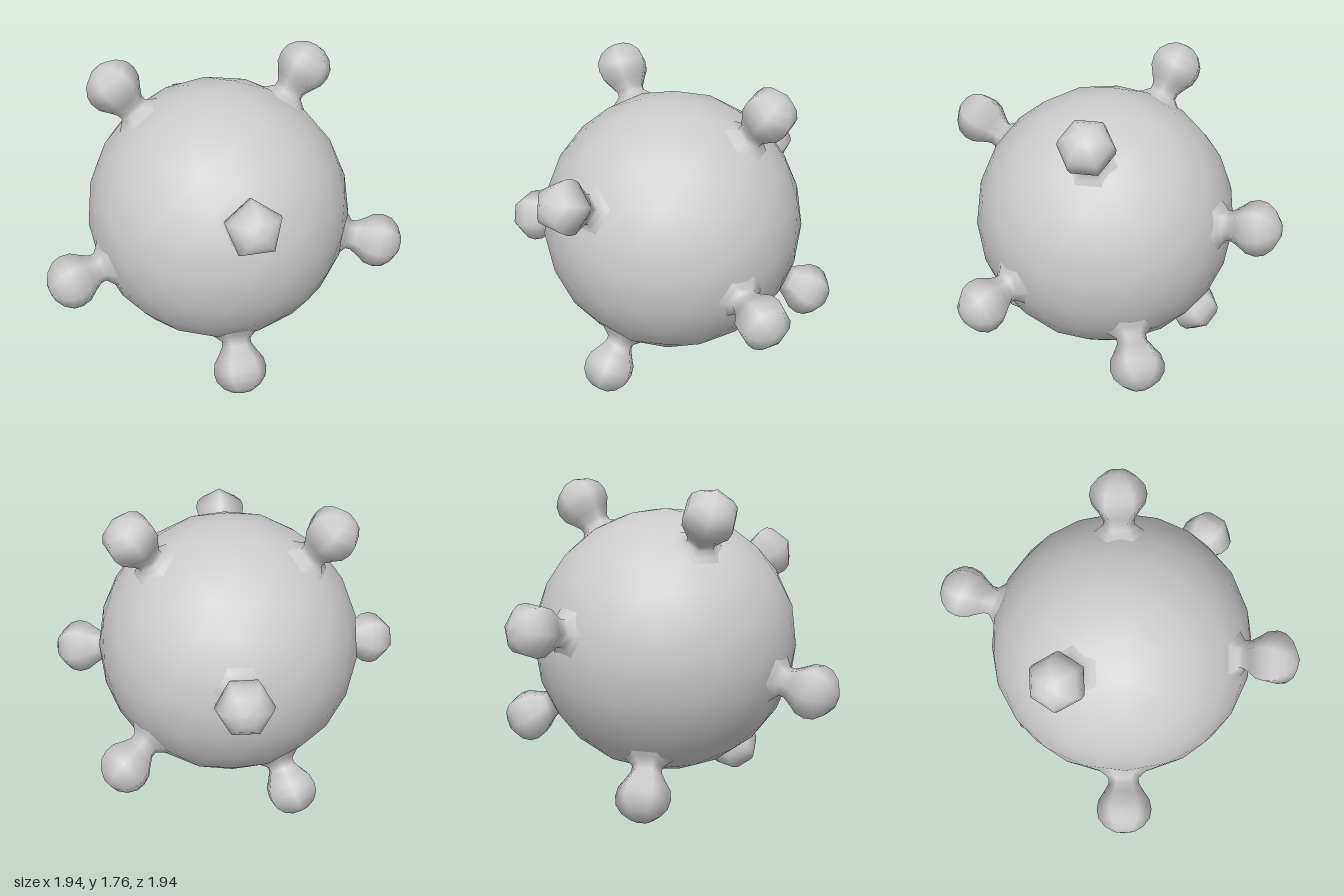
import * as THREE from 'three';

export function createModel() {
  const model = new THREE.Group();
  model.name = 'studdedBall';
  const material = new THREE.MeshStandardMaterial({ color: 0xcccccc });
  const center = new THREE.Vector3(-0.08, 0.91, 0.035);

  // Smooth-shaded low-poly ball, turned so one corner points straight up
  const ballGeo = new THREE.IcosahedronGeometry(0.742, 3);
  ballGeo.rotateZ(-Math.atan(2 / (1 + Math.sqrt(5))));
  const ball = new THREE.Mesh(ballGeo, material);
  ball.name = 'ball';
  ball.position.copy(center);
  model.add(ball);

  // Stud profile: [radius, distance from ball centre], flared foot to rounded tip
  const profile = [
    [0.165, 0.7], [0.115, 0.738], [0.084, 0.765], [0.085, 0.795], [0.112, 0.84],
    [0.143, 0.885], [0.153, 0.94], [0.142, 0.99], [0.105, 1.035], [0.055, 1.063], [0, 1.07],
  ].map(([r, d]) => new THREE.Vector2(r, d));
  const hexStud = new THREE.LatheGeometry(profile, 6, Math.PI / 6);
  const pentStud = new THREE.LatheGeometry(profile, 5, Math.PI);

  // Directions in which the studs leave the ball
  const studs = [
    ['upperRightStud', -0.57, 0.76, 0],
    ['upperLeftStud', 0.46, 0.76, -0.335],
    ['frontStud', 0.26, 0.43, 0.81, pentStud],
    ['leftStud', 0.92, -0.18, 0],
    ['rightStud', -0.76, -0.18, 0.535],
    ['lowerBackStud', -0.47, -0.76, -0.335],
    ['lowerFrontStud', 0.175, -0.76, 0.545],
    ['backLeftStud', 0.42, -0.49, -0.69],
    ['backStud', -0.3, 0.18, -0.88],
  ];
  const up = new THREE.Vector3(0, 1, 0);
  for (const [name, x, y, z, geometry = hexStud] of studs) {
    const axis = new THREE.Vector3(x, y, z).normalize();
    const side = up.clone().cross(axis).normalize();
    const third = side.clone().cross(axis);
    const stud = new THREE.Mesh(geometry, material);
    stud.name = name;
    stud.quaternion.setFromRotationMatrix(new THREE.Matrix4().makeBasis(side, axis, third));
    stud.position.copy(center);
    model.add(stud);
  }
  return model;
}
